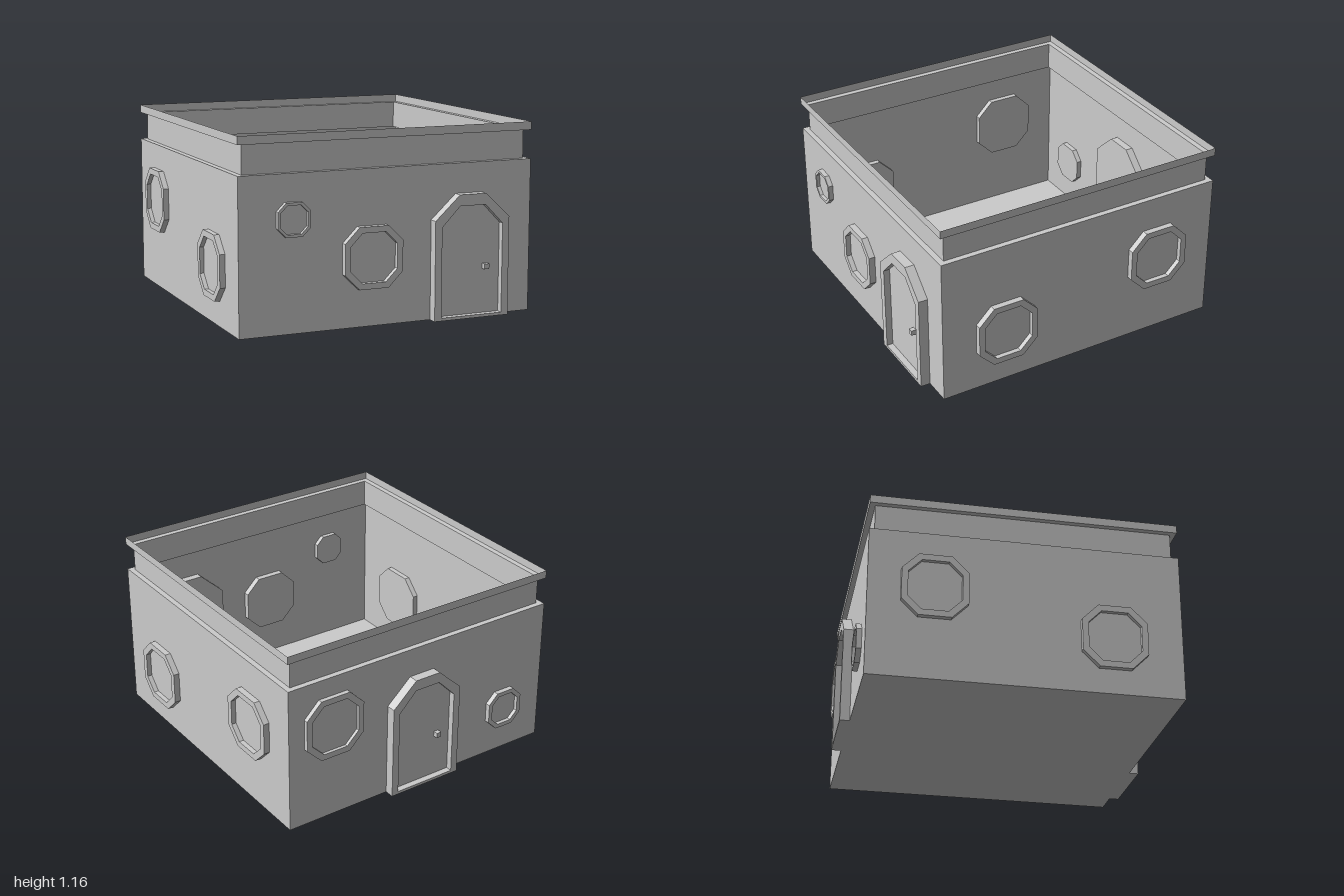
import * as THREE from 'three';

const material = new THREE.MeshStandardMaterial({ color: 0xcccccc, flatShading: true, side: THREE.DoubleSide });
const HALF = 0.94;   // half width of the walls
const INSET = 0.905; // half width of the recessed band
const CX = -0.005;   // centre of the building in x

function addMesh(parent, name, geometry) {
  const flat = geometry.index ? geometry.toNonIndexed() : geometry;
  flat.computeVertexNormals();
  const mesh = new THREE.Mesh(flat, material);
  mesh.name = name;
  parent.add(mesh);
  return mesh;
}

// Thin square shell swept from [halfWidth, y] points
function squareShell(profile) {
  const points = profile.map(([r, y]) => new THREE.Vector2(r * Math.SQRT2, y));
  return new THREE.LatheGeometry(points, 4, Math.PI / 4);
}

// Octagon whose corners are cut by a quarter of its width
function octagon(r) {
  const h = r / 2;
  return [[-h, -r], [h, -r], [r, -h], [r, h], [h, r], [-h, r], [-r, h], [-r, -h]];
}

// Doorway outline with a chamfered head
function archway(halfWidth, bottom, shoulder, top, halfTop) {
  return [[-halfWidth, bottom], [halfWidth, bottom], [halfWidth, shoulder],
    [halfTop, top], [-halfTop, top], [-halfWidth, shoulder]];
}

const toVectors = (points) => points.map(([x, y]) => new THREE.Vector2(x, y));

function slab(outline, hole, z0, z1) {
  const shape = new THREE.Shape(toVectors(outline));
  if (hole) shape.holes.push(new THREE.Path(toVectors(hole)));
  const geometry = new THREE.ExtrudeGeometry(shape, { depth: z1 - z0, bevelEnabled: false });
  return geometry.translate(0, 0, z0);
}

// Solid backing with a raised frame; z = 0 is the wall plane
function framedPanel(name, outer, inner, back, recess, front) {
  const group = new THREE.Group();
  group.name = name;
  addMesh(group, name + 'Panel', slab(outer, null, back, recess));
  addMesh(group, name + 'Frame', slab(outer, inner, recess, front));
  return group;
}

function makeWindow(name, r, rim, depth) {
  return framedPanel(name, octagon(r), octagon(r - rim), -depth, 0.008, depth);
}

function makeDoor(name) {
  const door = framedPanel(name, archway(0.247, 0, 0.605, 0.753, 0.087),
    archway(0.202, 0.018, 0.565, 0.685, 0.085), -0.048, 0.02, 0.06);
  const knob = addMesh(door, 'doorKnob', new THREE.BoxGeometry(0.032, 0.032, 0.032));
  knob.position.set(0.106, 0.305, 0.034);
  return door;
}

export function createModel() {
  const model = new THREE.Group();
  model.name = 'building';

  // Open-topped shell: floor, walls, recessed band and projecting rim
  const shell = {
    floor: [[0, 0], [HALF, 0]],
    walls: [[HALF, 0], [HALF, 0.935], [INSET, 0.935]],
    recessedBand: [[INSET, 0.935], [INSET, 1.11]],
    roofRim: [[INSET, 1.11], [HALF, 1.11], [HALF, 1.16]],
  };
  for (const [name, profile] of Object.entries(shell)) {
    addMesh(model, name, squareShell(profile)).position.x = CX;
  }

  // Openings placed on the four walls
  const walls = {
    front: (g, u) => { g.position.x = u; g.position.z = HALF; },
    back: (g, u) => { g.position.x = u; g.position.z = -HALF; g.rotation.y = Math.PI; },
    left: (g, u) => { g.position.x = CX + HALF; g.position.z = u; g.rotation.y = Math.PI / 2; },
    right: (g, u) => { g.position.x = CX - HALF; g.position.z = u; g.rotation.y = -Math.PI / 2; },
  };

  // wall, position along the wall, height, radius, rim width, depth
  const windows = [
    ['front', -0.615, 0.67, 0.1, 0.016, 0.03],
    ['front', -0.12, 0.415, 0.185, 0.036, 0.04],
    ['back', -0.645, 0.3, 0.125, 0.026, 0.032],
    ['back', 0.63, 0.617, 0.198, 0.037, 0.028],
    ['left', 0.52, 0.353, 0.198, 0.038, 0.038],
    ['left', -0.537, 0.53, 0.198, 0.038, 0.038],
    ['right', 0.52, 0.353, 0.198, 0.038, 0.034],
    ['right', -0.547, 0.58, 0.198, 0.038, 0.034],
  ];
  for (const [wall, u, y, r, rim, depth] of windows) {
    const unit = makeWindow(wall + 'Window', r, rim, depth);
    walls[wall](unit, u);
    unit.position.y = y;
    model.add(unit);
  }

  for (const [wall, u] of [['front', 0.513], ['back', -0.007]]) {
    const door = makeDoor(wall + 'Door');
    walls[wall](door, u);
    model.add(door);
  }
  return model;
}
